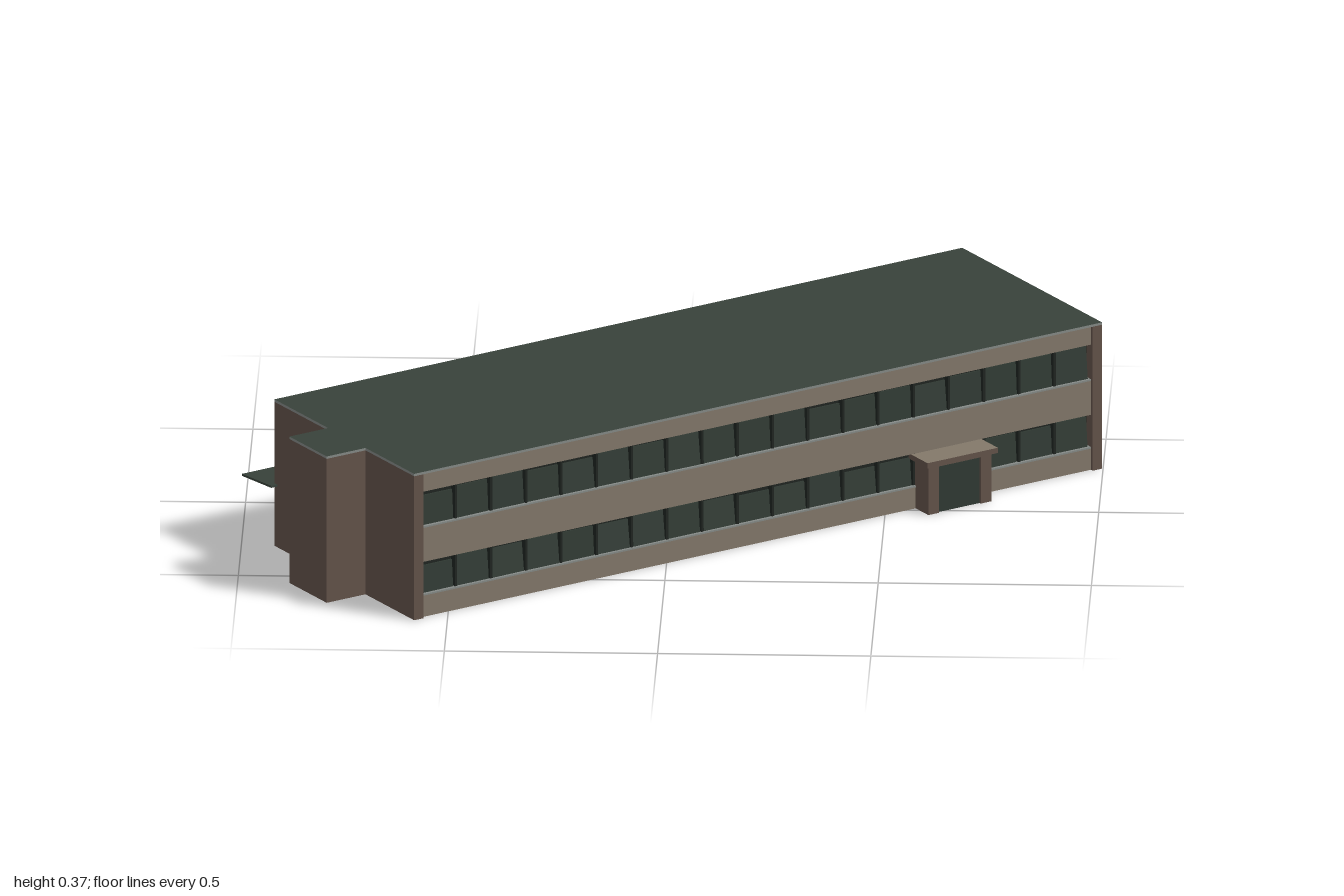
import * as THREE from 'three';

const mat = (name, color) => {
  const m = new THREE.MeshStandardMaterial({ color });
  m.name = name;
  return m;
};

export function createModel() {
  const tan = mat('tan wall', 0x83786a);
  const brown = mat('brown wall', 0x63534a);
  const roofGreen = mat('roof green', 0x38423a);
  const glass = mat('dark glass', 0x303a33);
  const frame = mat('frame black', 0x1f2521);
  const trim = mat('grey trim', 0x858a87);

  const model = new THREE.Group();
  model.name = 'building';
  const body = new THREE.Group();
  body.name = 'rotatedBody';
  body.rotation.y = 0.6055;
  body.position.set(0.0375, 0, -0.0025);
  model.add(body);

  // Box given by its limits along the length (u), height (y) and depth (v)
  const box = (name, material, u0, u1, y0, y1, v0, v1, parent = body) => {
    const mesh = new THREE.Mesh(new THREE.BoxGeometry(u1 - u0, y1 - y0, v1 - v0), material);
    mesh.position.set((u0 + u1) / 2, (y0 + y1) / 2, (v0 + v1) / 2);
    mesh.name = name;
    parent.add(mesh);
    return mesh;
  };
  // Small repeatable variation for the opened casements
  const vary = (n) => { const s = Math.sin(n * 12.9898) * 43758.5453; return s - Math.floor(s); };

  const L = 0.958, D = 0.303, H = 0.365, IN = 0.932, FACE = 0.295;
  const rows = [[0.053, 0.137], [0.222, 0.312]];

  // Roof slab with grey edges
  const edged = [trim, trim, roofGreen, roofGreen, trim, trim];
  box('roof', edged, -L, L, H - 0.006, H, -D, D);

  // End walls; the far one is open where the stair tower joins
  const top = H - 0.006;
  box('endWall', brown, IN, L, 0, top, -D, D);
  box('endWallBack', brown, -L, -IN, 0, top, -D, -0.07);
  box('endWallFront', brown, -L, -IN, 0, top, 0.092, D);
  box('endDoor', glass, L, L + 0.003, 0, 0.107, -0.225, -0.171);
  box('downpipe', frame, L, L + 0.004, 0.03, 0.358, 0.288, 0.293);

  // Stair tower
  box('towerEnd', brown, -1.066, -1.05, 0, top, -0.07, 0.092);
  box('towerSideBack', brown, -1.05, -IN, 0, top, -0.07, -0.055);
  box('towerSideFront', brown, -1.05, -IN, 0, top, 0.077, 0.092);
  box('towerRoof', edged, -1.066, -L, H - 0.006, H, -0.07, 0.092);

  // A stretch of facade facing +v: wall bands, sills and two rows of casements
  const facade = (parent, u0, u1, seed) => {
    const bands = [[0, rows[0][0]], [rows[0][1], rows[1][0]], [rows[1][1], top]];
    bands.forEach(([y0, y1], i) => {
      box('wallBand', tan, u0, u1, y0, y1, FACE - 0.02, FACE, parent);
      if (i < 2) box('sill', trim, u0, u1, y1, y1 + 0.004, FACE - 0.018, FACE + 0.001, parent);
    });
    const count = Math.round((u1 - u0) / 0.1);
    const step = (u1 - u0) / count;
    rows.forEach(([y0, y1], r) => {
      box('windowBacking', frame, u0, u1, y0, y1, FACE - 0.026, FACE - 0.02, parent);
      for (let i = 0; i < count; i++) {
        const a = u0 + i * step;
        const k = seed + r * 40 + i;
        const drop = 0.012 * vary(k);
        const pane = box('windowPane', glass, a + 0.004, a + step - 0.006,
          y0 + 0.004, y1 - 0.003 - drop, FACE - 0.014, FACE - 0.009, parent);
        pane.rotation.x = -0.06 - 0.08 * vary(k + 7);
        pane.rotation.y = 0.05 * (vary(k + 13) - 0.5);
        box('mullion', frame, a - 0.003, a + 0.003, y0 + 0.004, y1, FACE - 0.02, FACE - 0.004, parent);
      }
    });
  };

  const front = new THREE.Group();
  front.name = 'frontFacade';
  body.add(front);
  facade(front, -IN, IN, 1);

  // Back facade, turned round so that its own u runs the other way
  const back = new THREE.Group();
  back.name = 'backFacade';
  back.rotation.y = Math.PI;
  body.add(back);
  facade(back, -IN, -0.577, 101);
  facade(back, -0.247, IN, 201);
  box('blankWall', tan, -0.423, -0.247, 0, top, FACE - 0.02, FACE, back);
  box('stairLintel', tan, -0.577, -0.423, 0.308, top, FACE - 0.02, FACE, back);
  box('stairGlazing', glass, -0.577, -0.423, 0, 0.308, FACE - 0.02, FACE - 0.008, back);
  box('backPipe', frame, 0.288, 0.292, 0.15, 0.21, FACE, FACE + 0.006, back);

  // Sloping canopy at the back
  const canopy = box('canopy', roofGreen, -0.975, -0.481, 0.147, 0.152, -0.417, -0.29);
  canopy.rotation.x = -0.07;

  // Entrance porch
  const porch = new THREE.Group();
  porch.name = 'porch';
  body.add(porch);
  box('porchRoof', [brown, brown, tan, brown, brown, brown], 0.434, 0.63, 0.122, 0.135, 0.28, 0.362, porch);
  box('porchPost', brown, 0.444, 0.474, 0, 0.122, 0.28, 0.35, porch);
  box('porchPost', brown, 0.59, 0.62, 0, 0.122, 0.28, 0.35, porch);
  box('porchDoor', glass, 0.474, 0.59, 0, 0.115, 0.33, 0.345, porch);
  box('porchLintel', brown, 0.474, 0.59, 0.115, 0.122, 0.33, 0.349, porch);

  return model;
}
